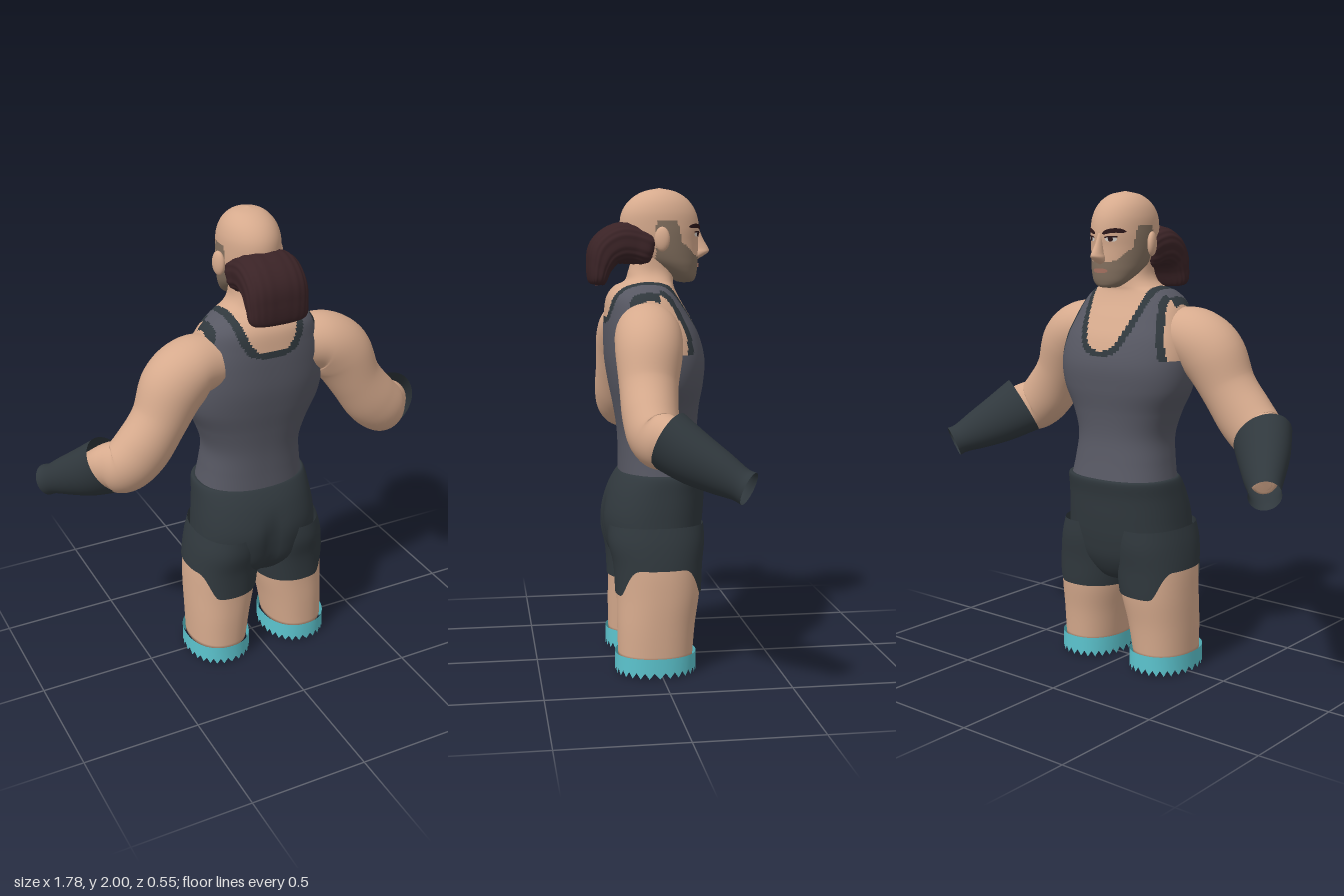
import * as THREE from 'three';

const mat = (name, color, side = THREE.FrontSide) => {
  const m = new THREE.MeshStandardMaterial({ color, side });
  m.name = name;
  return m;
};

// Smooth interpolation of table rows whose first column is the key
function sample(rows, t) {
  let i = 0;
  while (i < rows.length - 2 && t > rows[i + 1][0]) i++;
  const a = rows[i], b = rows[i + 1], p = rows[Math.max(0, i - 1)], q = rows[Math.min(rows.length - 1, i + 2)];
  const h = b[0] - a[0], s = THREE.MathUtils.clamp((t - a[0]) / h, 0, 1);
  return a.slice(1).map((_, k) => {
    k++;
    const m0 = (b[k] - p[k]) / (b[0] - p[0]) * h, m1 = (q[k] - a[k]) / (q[0] - a[0]) * h;
    const s2 = s * s, s3 = s2 * s;
    return (2 * s3 - 3 * s2 + 1) * a[k] + (s3 - 2 * s2 + s) * m0 + (3 * s2 - 2 * s3) * b[k] + (s3 - s2) * m1;
  });
}
const indexed = rows => rows.map((r, i) => [i, ...r]);
const power = (c, n) => Math.sign(c) * Math.abs(c) ** (2 / n);

// Grid surface from fn(u, v); pick(x, y, z) chooses the material of each cell
function surface(name, materials, nu, nv, fn, { wrap = true, pick } = {}) {
  const pos = [], cols = wrap ? nu : nu + 1;
  for (let j = 0; j <= nv; j++) for (let i = 0; i < cols; i++) pos.push(...fn(i / nu, j / nv));
  const mats = [].concat(materials), lists = mats.map(() => []);
  for (let j = 0; j < nv; j++) for (let i = 0; i < nu; i++) {
    const k = (i + 1) % cols;
    const a = j * cols + i, b = a + cols, c = j * cols + k, d = c + cols;
    const mid = [0, 1, 2].map(n => (pos[a * 3 + n] + pos[b * 3 + n] + pos[c * 3 + n] + pos[d * 3 + n]) / 4);
    lists[pick ? pick(...mid) : 0].push(a, b, c, c, b, d);
  }
  const geo = new THREE.BufferGeometry();
  geo.setAttribute('position', new THREE.Float32BufferAttribute(pos, 3));
  geo.setIndex(lists.flat());
  let start = 0;
  if (mats.length > 1) lists.forEach((l, n) => { geo.addGroup(start, l.length, n); start += l.length; });
  geo.computeVertexNormals();
  const mesh = new THREE.Mesh(geo, mats.length > 1 ? mats : mats[0]);
  mesh.name = name;
  return mesh;
}

// Upright loft; rows are [y, half width, back z, front z]
function loft(name, materials, rows, nu, nv, n = 2, opt = {}) {
  const keyed = indexed(rows);
  return surface(name, materials, nu, nv, (u, v) => {
    const [y, rx, zb, zf] = sample(keyed, v * (rows.length - 1)), a = u * Math.PI * 2;
    const p = [rx * power(Math.cos(a), n), y, (zb + zf) / 2 + (zb - zf) / 2 * power(Math.sin(a), n)];
    return opt.shape ? opt.shape(p) : p;
  }, opt);
}

// Sweep along a path; rows are [x, y, z, radius along ref, radius across]
function sweep(name, material, rows, nu, nv, ref, n = 2, ripple = 0) {
  const keyed = indexed(rows), end = rows.length - 1;
  const centre = t => new THREE.Vector3(...sample(keyed, t));
  return surface(name, material, nu, nv, (u, v) => {
    const t = v * end, [x, y, z, rb, rn] = sample(keyed, t), a = u * Math.PI * 2;
    const dir = centre(Math.min(end, t + 0.05)).sub(centre(Math.max(0, t - 0.05))).normalize();
    const B = ref.clone().addScaledVector(dir, -ref.dot(dir)).normalize();
    const N = B.clone().cross(dir), k = 1 + ripple * Math.sin(a * 20);
    return new THREE.Vector3(x, y, z).addScaledVector(B, k * rb * power(Math.cos(a), n))
      .addScaledVector(N, k * rn * power(Math.sin(a), n)).toArray();
  });
}

function mirrored(mesh, name) {
  const geo = mesh.geometry.clone().scale(-1, 1, 1), ix = geo.index;
  for (let i = 0; i < ix.count; i += 3) {
    const t = ix.getX(i);
    ix.setX(i, ix.getX(i + 1));
    ix.setX(i + 1, t);
  }
  const m = new THREE.Mesh(geo, mesh.material);
  m.name = name;
  return m;
}

export function createModel() {
  const D = THREE.DoubleSide, step = THREE.MathUtils.smoothstep, lerp = THREE.MathUtils.lerp;
  const skin = mat('skin', 0xd6aa8d), shirt = mat('shirt grey', 0x575863), dark = mat('dark cloth', 0x30383d, D);
  const cyan = mat('turquoise', 0x5cc4ce, D), hair = mat('hair brown', 0x3a2326), stubble = mat('stubble', 0x83705f);
  const brow = mat('brow', 0x2b1619, D), white = mat('eye white', 0xd8d2cc, D), lip = mat('lip', 0xa87362, D);
  const model = new THREE.Group();
  const pair = m => {
    const base = m.name;
    m.name = 'left ' + base;
    model.add(m, mirrored(m, 'right ' + base));
  };

  // Torso: scooped vest with dark edging, bare shoulders and neck
  const neckline = (x, z) => lerp(1.36 + 0.26 * (Math.abs(x) / 0.14) ** 3, 1.47 + 0.15 * (Math.abs(x) / 0.13) ** 4, step(z, -0.03, 0.08));
  const vest = (x, y, z) => {
    const slope = (neckline(Math.abs(x) + 0.002, z) - neckline(x, z)) / 0.002;
    const neck = (y - neckline(x, z)) / Math.hypot(1, slope);
    const hole = y > 1.33 ? Math.abs(x) - 0.235 - 0.27 * Math.max(0, 1.56 - y) + (z < 0 ? 0.02 : 0) : -1;
    const edge = Math.max(neck, hole);
    return edge > 0 ? 1 : edge > -0.024 ? 2 : 0;
  };
  model.add(loft('torso', [shirt, skin, dark], [
    [0.79, 0.238, 0.145, -0.222], [0.9, 0.22, 0.145, -0.2], [1, 0.213, 0.15, -0.187], [1.1, 0.245, 0.165, -0.192],
    [1.2, 0.293, 0.185, -0.207], [1.3, 0.307, 0.2, -0.212], [1.4, 0.295, 0.203, -0.187], [1.48, 0.268, 0.2, -0.147],
    [1.55, 0.235, 0.19, -0.107], [1.595, 0.185, 0.16, -0.087], [1.62, 0.13, 0.115, -0.085], [1.66, 0.1, 0.1, -0.083],
    [1.73, 0.095, 0.08, -0.07]], 160, 132, 2.3, { pick: vest }));

  // Shorts: hips with a soft rear crease
  model.add(loft('shorts hips', dark, [
    [0.36, 0.05, 0.06, -0.06], [0.39, 0.13, 0.12, -0.13], [0.47, 0.24, 0.185, -0.18], [0.56, 0.275, 0.212, -0.2],
    [0.65, 0.272, 0.218, -0.21], [0.75, 0.26, 0.19, -0.217], [0.82, 0.249, 0.15, -0.226], [0.825, 0.225, 0.13, -0.2]],
  64, 40, 2.3, {
    shape: ([x, y, z]) => [x, y, z - (z > 0 ? 0.022 * Math.exp(-((x / 0.035) ** 2)) * step(0.75 - y, 0, 0.15) : 0)],
  }));

  // Legs, shorts legs with a raised outer hem, and toothed bands
  const legRows = [[0.06, 0.19, 0.125, 0.015, 0.155], [0.2, 0.18, 0.138, 0.01, 0.163], [0.33, 0.166, 0.152, 0, 0.173],
    [0.45, 0.157, 0.155, 0, 0.18], [0.55, 0.15, 0.145, 0.005, 0.195], [0.65, 0.14, 0.125, 0.005, 0.19]];
  const leg = (y, u, grow = 0, k = 1) => {
    const [cx, rx, cz, rz] = sample(legRows, y), a = u * Math.PI * 2;
    return [cx + k * (rx + grow) * power(Math.cos(a), 2.2), y, cz + k * (rz + grow) * power(Math.sin(a), 2.2)];
  };
  pair(surface('leg', skin, 48, 24, (u, v) => leg(Math.max(0.07, lerp(0.05, 0.5, v)), u, 0, v ? 1 : 0)));
  pair(surface('shorts leg', dark, 64, 16, (u, v) =>
    leg(lerp(0.333 + 0.117 * step(Math.cos(u * Math.PI * 2), 0.4, 0.9), 0.62, v), u, 0.006)));
  const teeth = 56;
  pair(surface('knee band', cyan, teeth, 1, (u, v) => {
    const p = leg(0.08, u, 0.013);
    p[1] = v ? 0.085 : Math.round(u * teeth) % 2 ? 0.025 : 0;
    return p;
  }));

  // Arms and open-ended forearm guards
  const zAxis = new THREE.Vector3(0, 0, 1);
  pair(sweep('arm', skin, [
    [0.2, 1.42, 0.06, 0.11, 0.11], [0.3, 1.41, 0.06, 0.132, 0.125], [0.38, 1.345, 0.067, 0.132, 0.135],
    [0.45, 1.22, 0.078, 0.115, 0.115], [0.53, 1.11, 0.082, 0.108, 0.12], [0.6, 1.045, 0.072, 0.1, 0.115],
    [0.65, 1.03, 0.03, 0.085, 0.105], [0.7, 0.99, -0.04, 0.07, 0.085], [0.79, 0.918, -0.17, 0.05, 0.055],
    [0.795, 0.914, -0.177, 0.001, 0.001]], 40, 72, zAxis));
  pair(sweep('forearm guard', dark, [
    [0.65, 1.04, 0.03, 0.104, 0.135], [0.71, 0.985, -0.05, 0.095, 0.115], [0.77, 0.935, -0.14, 0.077, 0.09],
    [0.815, 0.9, -0.205, 0.061, 0.068], [0.835, 0.885, -0.235, 0.063, 0.068]], 40, 24, zAxis));

  // Head with a short beard shadow
  const headRows = [[1.612, 0.005, -0.13, -0.14], [1.618, 0.045, -0.1, -0.172], [1.64, 0.076, -0.06, -0.184],
    [1.68, 0.1, 0.02, -0.19], [1.72, 0.112, 0.08, -0.192], [1.78, 0.12, 0.12, -0.192], [1.84, 0.122, 0.135, -0.196],
    [1.9, 0.118, 0.128, -0.184], [1.95, 0.098, 0.095, -0.152], [1.985, 0.06, 0.04, -0.1], [2, 0.002, -0.028, -0.032]];
  const beard = (x, y, z) => {
    const line = z > -0.115 ? lerp(1.77, 1.865, step(z, -0.115, -0.085)) : lerp(1.722, 1.77, step(z, -0.18, -0.115));
    return z < 0 && y < line ? 1 : 0;
  };
  model.add(loft('head', [skin, stubble], headRows, 120, 100, 2, { pick: beard }));
  model.add(loft('nose', skin, [
    [1.708, 0.003, -0.18, -0.19], [1.72, 0.022, -0.17, -0.212], [1.738, 0.027, -0.17, -0.238], [1.755, 0.021, -0.17, -0.238],
    [1.79, 0.014, -0.17, -0.217], [1.835, 0.011, -0.17, -0.197]], 24, 20));
  const ear = new THREE.Mesh(new THREE.SphereGeometry(1, 20, 14).scale(0.018, 0.05, 0.032).rotateY(-0.35).translate(0.134, 1.79, -0.022), skin);
  ear.name = 'ear';
  pair(ear);

  // Thin plates following the face
  const plate = (name, m, x0, x1, y0, half, arch, lift) => surface(name, m, 12, 2, (u, v) => {
    const x = lerp(x0, x1, u), y = y0 + arch * Math.sin(u * Math.PI * 0.8) + (v * 2 - 1) * half * Math.sqrt(Math.max(0.02, 1 - (2 * u - 1) ** 4));
    const [rx, zb, zf] = sample(headRows, y);
    return [x, y, (zb + zf) / 2 - (zb - zf) / 2 * Math.sqrt(1 - (x / rx) ** 2) - lift];
  }, { wrap: false });
  pair(plate('eyebrow', brow, 0.018, 0.095, 1.833, 0.009, 0.012, 0.005));
  pair(plate('eye', white, 0.028, 0.07, 1.81, 0.009, 0, 0.002));
  pair(plate('iris', brow, 0.04, 0.058, 1.811, 0.009, 0, 0.004));
  pair(plate('eyelid line', brow, 0.024, 0.075, 1.817, 0.003, 0.004, 0.004));
  model.add(plate('lips', lip, -0.036, 0.036, 1.684, 0.009, 0, 0.005));

  // Gathered hair curving down behind the head
  model.add(sweep('ponytail', hair, [
    [0, 1.745, 0.0, 0.02, 0.01], [0, 1.748, 0.012, 0.118, 0.072], [0, 1.77, 0.08, 0.126, 0.083], [0, 1.773, 0.14, 0.13, 0.085],
    [0, 1.74, 0.195, 0.131, 0.075], [0, 1.68, 0.222, 0.129, 0.053], [0, 1.612, 0.234, 0.112, 0.032],
    [0, 1.605, 0.235, 0.01, 0.004]], 100, 48, new THREE.Vector3(1, 0, 0), 2.8, 0.012));
  return model;
}
